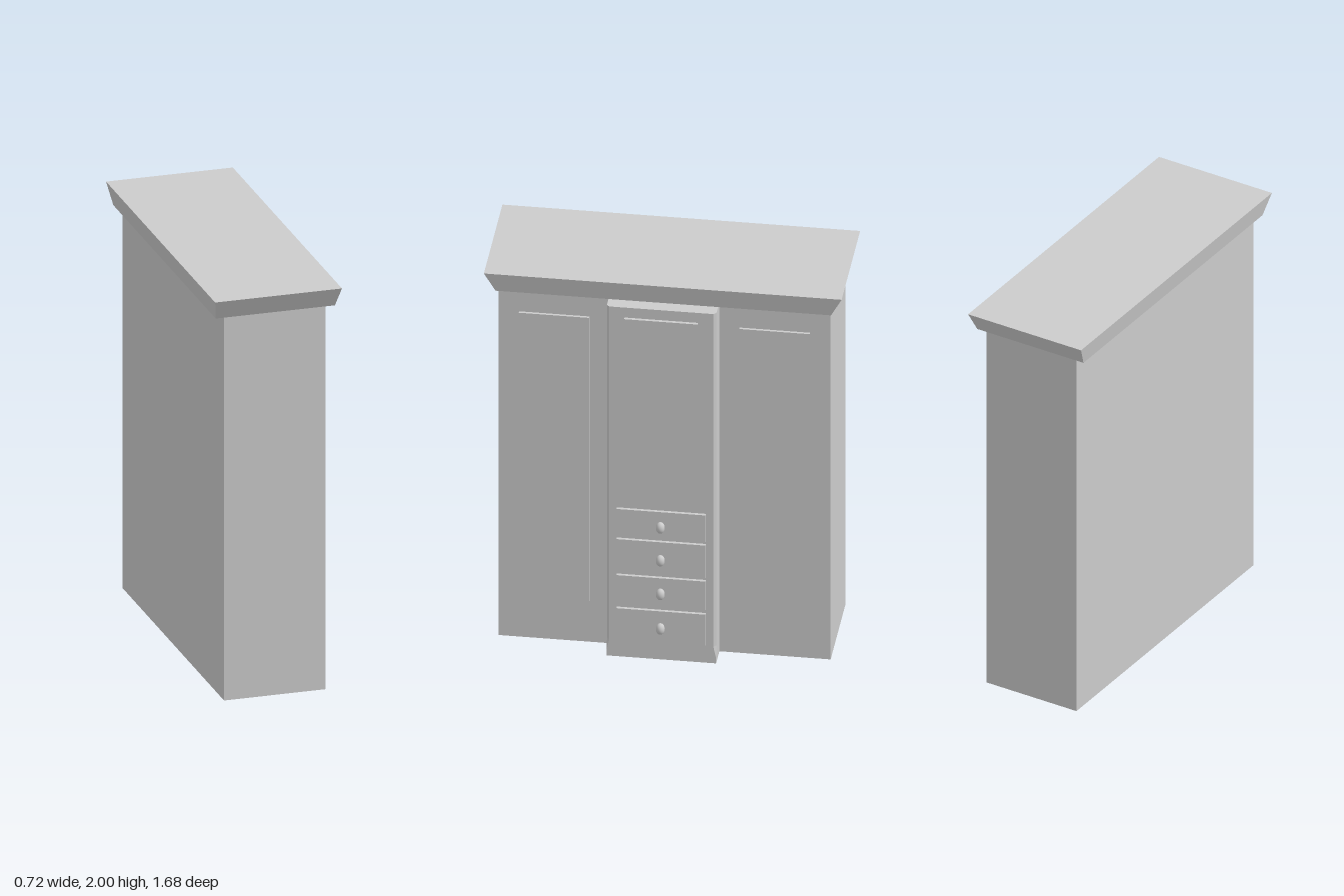
import * as THREE from 'three';

const grey = new THREE.MeshStandardMaterial({ color: 0xcccccc });
const flat = new THREE.MeshStandardMaterial({ color: 0xcccccc, flatShading: true });

export function createModel() {
  const wardrobe = new THREE.Group();
  wardrobe.name = 'wardrobe';

  function add(name, geometry, material = flat) {
    const mesh = new THREE.Mesh(geometry, material);
    mesh.name = name;
    wardrobe.add(mesh);
    return mesh;
  }

  // Box given by its lower and upper limits on each axis
  function box(name, x0, x1, y0, y1, z0, z1) {
    const mesh = add(name, new THREE.BoxGeometry(x1 - x0, y1 - y0, z1 - z0));
    mesh.position.set((x0 + x1) / 2, (y0 + y1) / 2, (z0 + z1) / 2);
  }

  // Solid skinned over stacked rings of [x, z] corners
  function loft(name, sections) {
    const n = sections[0].ring.length;
    const positions = sections.flatMap(({ y, ring }) => ring.flatMap(([x, z]) => [x, y, z]));
    const index = [];
    for (let s = 0; s < sections.length - 1; s++) {
      for (let i = 0; i < n; i++) {
        const a = s * n + i, b = s * n + (i + 1) % n;
        index.push(a, b, b + n, a, b + n, a + n);
      }
    }
    const top = (sections.length - 1) * n;
    for (let i = 1; i < n - 1; i++) {
      index.push(0, i + 1, i, top, top + i, top + i + 1);
    }
    const geometry = new THREE.BufferGeometry();
    geometry.setAttribute('position', new THREE.Float32BufferAttribute(positions, 3));
    geometry.setIndex(index);
    const split = geometry.toNonIndexed();
    split.computeVertexNormals();
    return add(name, split);
  }

  // Main carcass, front towards +x
  box('carcass', -0.3, 0.193, 0, 1.9, -0.778, 0.778);

  // Crown moulding flaring outwards to the top
  const rect = (x0, x1, z) => [[x0, z], [x1, z], [x1, -z], [x0, -z]];
  loft('crown', [
    { y: 1.9, ring: rect(-0.343, 0.237, 0.786) },
    { y: 2.0, ring: rect(-0.362, 0.255, 0.838) },
  ]);

  // Projecting centre block, its front corners chamfered above the foot
  const bay = (c) => [
    [0.18, 0.257], [0.302 - c, 0.257], [0.302, 0.257 - c],
    [0.302, c - 0.257], [0.302 - c, -0.257], [0.18, -0.257],
  ];
  loft('centreBlock', [
    { y: 0, ring: bay(0.0005) },
    { y: 0.03, ring: bay(0.0005) },
    { y: 0.09, ring: bay(0.013) },
    { y: 1.9, ring: bay(0.013) },
  ]);

  // Raised door panels
  box('leftDoorPanel', 0.18, 0.206, 0.226, 1.77, -0.682, -0.352);
  box('rightDoorPanel', 0.18, 0.206, 0.226, 1.77, 0.352, 0.682);
  box('centreDoorPanel', 0.28, 0.317, 0.885, 1.846, -0.173, 0.173);

  // Drawer fronts with oval knobs
  const drawers = [[0.096, 0.27, 0.187], [0.29, 0.45, 0.375], [0.465, 0.646, 0.558], [0.66, 0.81, 0.737]];
  for (const [y0, y1, knobY] of drawers) {
    box('drawerFront', 0.28, 0.317, y0, y1, -0.209, 0.209);
    const knob = add('knob', new THREE.SphereGeometry(1, 24, 16), grey);
    knob.scale.set(0.021, 0.029, 0.021);
    knob.position.set(0.337, knobY, 0);
  }

  return wardrobe;
}
